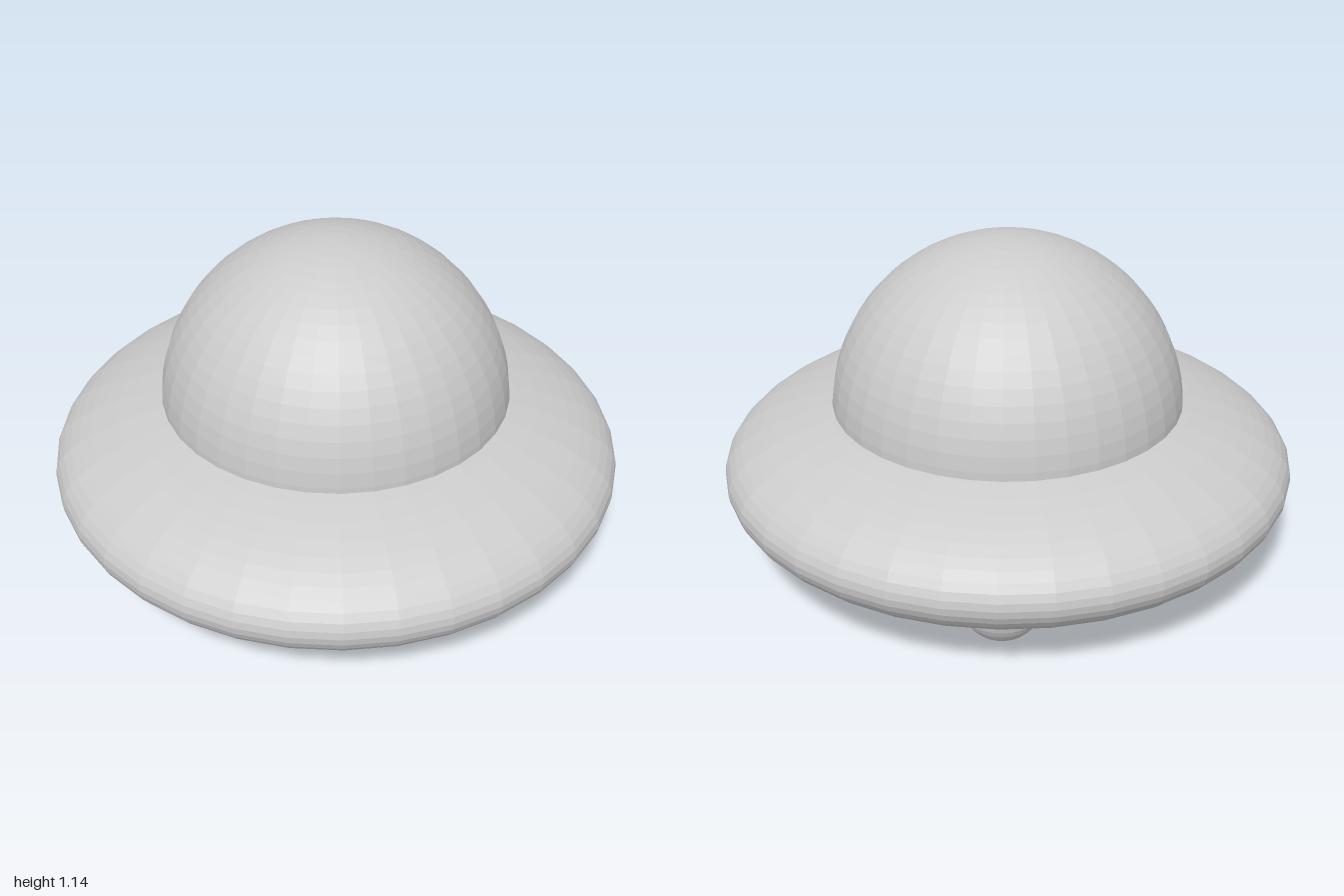
import * as THREE from 'three';

const SEGMENTS = 36;

export function createModel() {
  const group = new THREE.Group();
  const material = new THREE.MeshStandardMaterial({ color: 0xcccccc, flatShading: true });

  function addPart(name, geometry, x, y, z) {
    const mesh = new THREE.Mesh(geometry, material);
    mesh.name = name;
    mesh.position.set(x, y, z);
    group.add(mesh);
    return mesh;
  }

  // Flattened saucer body
  const saucer = new THREE.SphereGeometry(1, SEGMENTS, SEGMENTS).scale(1, 0.3, 1);
  addPart('saucerBody', saucer, 0, 0.32, 0);

  // Half-sphere cabin dome, set slightly towards the back
  const dome = new THREE.SphereGeometry(0.613, SEGMENTS, 18, 0, Math.PI * 2, 0, Math.PI / 2);
  addPart('cabinDome', dome, 0, 0.527, -0.017);

  // Shallow plate under the belly; the body bulges through its middle
  const plate = new THREE.CylinderGeometry(0.46, 0.46, 0.06, SEGMENTS);
  addPart('bellyPlate', plate, 0, 0.069, 0);

  // Ring of eight round pods under the rim
  const pod = new THREE.SphereGeometry(0.14, SEGMENTS, 18);
  const podCount = 8;
  for (let i = 0; i < podCount; i++) {
    const angle = (i / podCount) * Math.PI * 2;
    // the pod on the left side sits a little forward
    const shift = i === 0 ? 0.035 : 0;
    addPart(`pod${i + 1}`, pod, 0.655 * Math.cos(angle), 0.14, 0.655 * Math.sin(angle) + shift);
  }

  return group;
}
